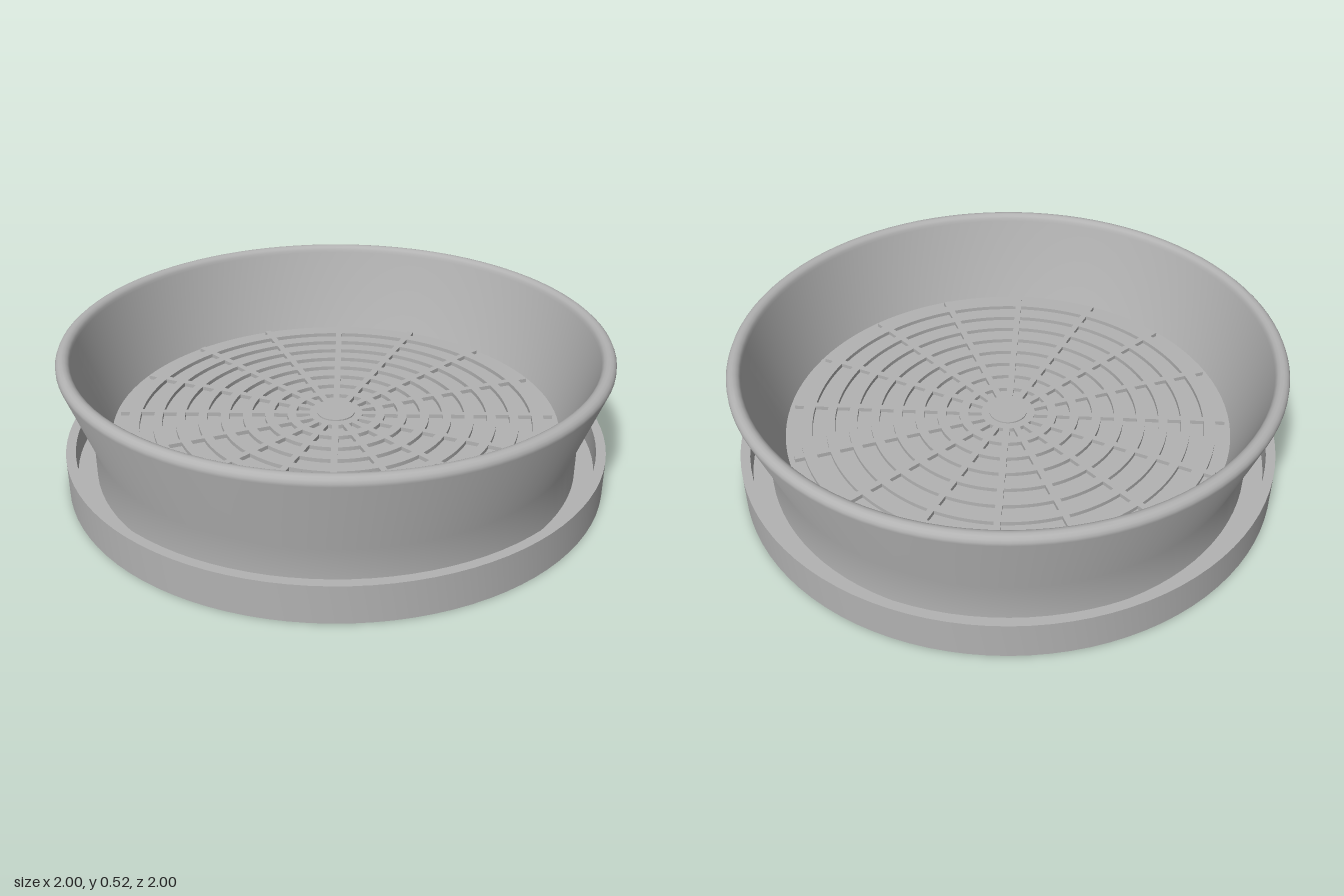
import * as THREE from 'three';
import { toCreasedNormals } from 'three/addons/utils/BufferGeometryUtils.js';

const FLOOR = 0.185, WEB_TOP = 0.2, SPOKES = 16;

// Turned solid from an (r, y) profile, with crisp corners
function turned(profile, material, name) {
  const points = profile.map(([r, y]) => new THREE.Vector2(r, y));
  const geometry = toCreasedNormals(new THREE.LatheGeometry(points, 96), 0.6);
  const mesh = new THREE.Mesh(geometry, material);
  mesh.name = name;
  return mesh;
}

// Opening between two rings and two neighbouring spokes
function cell(inner, outer, index, halfSpoke) {
  const start = (index / SPOKES) * Math.PI * 2, end = ((index + 1) / SPOKES) * Math.PI * 2;
  const a = Math.asin(halfSpoke / outer), b = Math.asin(halfSpoke / inner);
  const path = new THREE.Path();
  path.absarc(0, 0, outer, start + a, end - a, false);
  path.absarc(0, 0, inner, end - b, start + b, true);
  path.closePath();
  return path;
}

export function createModel() {
  const model = new THREE.Group();
  model.name = 'planterWithSaucer';
  const grey = new THREE.MeshStandardMaterial({ color: 0xb2b2b2 });
  grey.name = 'plain grey';

  // Saucer with a raised rim and a ring groove underneath
  model.add(turned([
    [0, 0], [0.735, 0], [0.735, 0.025], [0.785, 0.025], [0.785, 0], [1, 0],
    [1, 0.14], [0.965, 0.14], [0.965, 0.05], [0, 0.05],
  ], grey, 'saucer'));

  // Flared pot with a rounded lip, standing on a short skirt
  const lip = [];
  for (let i = 0; i <= 8; i++) {
    const t = -0.2 + (i / 8) * (Math.PI + 0.2);
    lip.push([0.974 + 0.026 * Math.cos(t), 0.492 + 0.026 * Math.sin(t)]);
  }
  model.add(turned([
    [0, 0.15], [0.85, 0.15], [0.85, 0.05], [0.895, 0.05], [0.895, 0.2],
    ...lip, [0.83, FLOOR], [0, FLOOR],
  ], grey, 'pot'));

  // Web of concentric rings and spokes on the pot floor
  const web = new THREE.Group();
  web.name = 'floorWeb';
  const shape = new THREE.Shape();
  shape.absarc(0, 0, 0.775, 0, Math.PI * 2, false);
  for (let ring = 0; ring < 8; ring++) {
    const inner = 0.1 + ring * 0.083;
    for (let i = 0; i < SPOKES; i++) shape.holes.push(cell(inner, inner + 0.05, i, 0.012));
  }
  const plate = new THREE.ExtrudeGeometry(shape, {
    depth: WEB_TOP - FLOOR, bevelEnabled: false, curveSegments: 6,
  });
  // Finer outer edge than the cells need
  const rim = new THREE.Mesh(new THREE.CylinderGeometry(0.775, 0.775, WEB_TOP - FLOOR, 96, 1, true), grey);
  rim.position.y = (FLOOR + WEB_TOP) / 2;
  rim.name = 'webRim';
  const rimTop = new THREE.Mesh(new THREE.RingGeometry(0.735, 0.775, 96).rotateX(-Math.PI / 2), grey);
  rimTop.position.y = WEB_TOP;
  rimTop.name = 'webRimTop';
  plate.rotateX(-Math.PI / 2);
  const grid = new THREE.Mesh(plate, grey);
  grid.position.y = FLOOR;
  grid.name = 'ringsAndSpokes';
  web.add(grid, rim, rimTop);

  // Spoke tips reaching past the outer ring
  for (let i = 0; i < SPOKES; i++) {
    const angle = (i / SPOKES) * Math.PI * 2;
    const tip = new THREE.Mesh(new THREE.BoxGeometry(0.06, WEB_TOP - FLOOR, 0.024), grey);
    tip.position.set(Math.cos(angle) * 0.78, (FLOOR + WEB_TOP) / 2, -Math.sin(angle) * 0.78);
    tip.rotation.y = angle;
    tip.name = 'spokeTip';
    web.add(tip);
  }

  // Round hub at the centre
  const hub = new THREE.Mesh(new THREE.CylinderGeometry(0.07, 0.07, 0.02, 48), grey);
  hub.position.y = WEB_TOP - 0.005;
  hub.name = 'hub';
  web.add(hub);
  model.add(web);
  return model;
}
